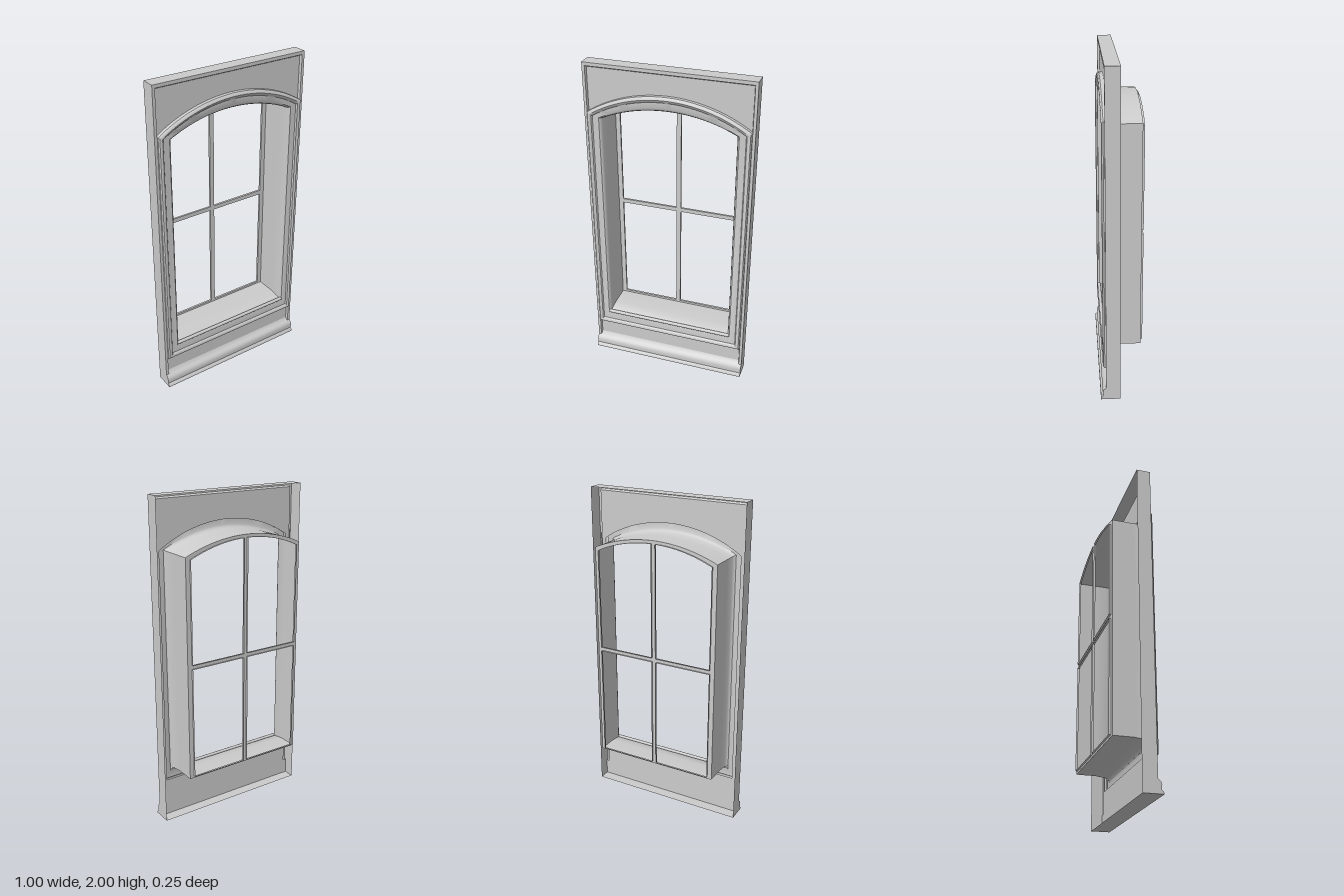
import * as THREE from 'three';
import { toCreasedNormals } from 'three/addons/utils/BufferGeometryUtils.js';

const material = new THREE.MeshStandardMaterial({ color: 0xcccccc, side: THREE.DoubleSide });

// Height of a circular arch through (+-half, spring) and (0, apex)
function archY(x, half, spring, apex) {
  const sag = apex - spring;
  const r = (half * half + sag * sag) / (2 * sag);
  return apex - r + Math.sqrt(r * r - x * x);
}

// Outline of an arched opening, counter-clockwise
function archOutline(half, bottom, spring, apex, n = 32) {
  const pts = [new THREE.Vector2(-half, bottom), new THREE.Vector2(half, bottom)];
  for (let i = 0; i <= n; i++) {
    const x = half - (2 * half * i) / n;
    pts.push(new THREE.Vector2(x, archY(x, half, spring, apex)));
  }
  return pts;
}

function rectOutline(x0, x1, y0, y1) {
  return [[x0, y0], [x1, y0], [x1, y1], [x0, y1]].map(([x, y]) => new THREE.Vector2(x, y));
}

// Skin through closed outlines, each { pts, z }, with equal point counts
function loft(rings) {
  const pos = [], index = [], n = rings[0].pts.length;
  for (const { pts, z } of rings) for (const p of pts) pos.push(p.x, p.y, z);
  for (let r = 0; r < rings.length - 1; r++) {
    for (let i = 0; i < n; i++) {
      const j = (i + 1) % n;
      const a = r * n + i, b = r * n + j, c = a + n, d = b + n;
      index.push(a, b, c, b, d, c);
    }
  }
  const g = new THREE.BufferGeometry();
  g.setAttribute('position', new THREE.Float32BufferAttribute(pos, 3));
  g.setIndex(index);
  return toCreasedNormals(g, 0.6);
}

// Flat sheet with holes at depth z
function sheet(outline, holes, z) {
  const shape = new THREE.Shape(outline);
  for (const h of holes) shape.holes.push(new THREE.Path(h));
  return new THREE.ShapeGeometry(shape).translate(0, 0, z);
}

export function createModel() {
  const model = new THREE.Group();
  const add = (name, geometry) => {
    const mesh = new THREE.Mesh(geometry, material);
    mesh.name = name;
    model.add(mesh);
    return mesh;
  };

  // Hollow wall surround: side walls, narrow border and a bevel into the recess
  const outer = rectOutline(-0.5, 0.5, 0, 2);
  add('wallSurround', loft([
    { pts: outer, z: 0.01 },
    { pts: outer, z: 0.095 },
    { pts: rectOutline(-0.483, 0.483, 0.03, 1.98), z: 0.095 },
    { pts: rectOutline(-0.478, 0.478, 0.035, 1.972), z: 0.08 },
  ]));

  // Recessed panel above and below the opening
  add('recessedPanel', sheet(
    rectOutline(-0.478, 0.478, 0.035, 1.972),
    [archOutline(0.45, 0.24, 1.685, 1.82)], 0.08));

  // Moulded casing running into the deep reveal: half width, bottom, spring, apex, z
  const casing = [
    [0.482, 0.208, 1.71, 1.855, 0.08],
    [0.482, 0.208, 1.71, 1.855, 0.102],
    [0.476, 0.214, 1.705, 1.848, 0.11],
    [0.466, 0.222, 1.70, 1.838, 0.113],
    [0.456, 0.232, 1.695, 1.828, 0.109],
    [0.45, 0.24, 1.69, 1.82, 0.1],
    [0.412, 0.285, 1.682, 1.785, 0.1],
    [0.404, 0.298, 1.678, 1.773, 0.094],
    [0.398, 0.31, 1.675, 1.764, 0.08],
    [0.398, 0.32, 1.675, 1.76, 0.01],
    [0.398, 0.32, 1.675, 1.76, -0.115],
  ];
  add('casingAndReveal', loft(casing.map(([w, b, s, a, z]) => ({ pts: archOutline(w, b, s, a), z }))));

  // Four pane openings, the upper two following the arch
  const panes = [];
  for (const [x0, x1] of [[-0.37, -0.014], [0.014, 0.37]]) {
    panes.push(rectOutline(x0, x1, 0.333, 1.022));
    const upper = [new THREE.Vector2(x0, 1.048), new THREE.Vector2(x1, 1.048)];
    for (let i = 0; i <= 16; i++) {
      const x = x1 + ((x0 - x1) * i) / 16;
      upper.push(new THREE.Vector2(x, archY(x, 0.37, 1.66, 1.742)));
    }
    panes.push(upper);
  }

  // Sash with glazing bars, and a thin lip behind each pane opening
  add('sashAndGlazingBars', sheet(archOutline(0.398, 0.32, 1.675, 1.76), panes, -0.115));
  panes.forEach((pts, i) => add(`paneLip${i + 1}`, loft([{ pts, z: -0.115 }, { pts, z: -0.128 }])));

  // Rounded nosing along the sill
  const nosing = add('sillNosing', new THREE.CapsuleGeometry(0.011, 0.8, 6, 12).rotateZ(Math.PI / 2));
  nosing.position.set(0, 0.304, 0.101);

  // Skirting at the foot: profile (depth, height) swept across the width
  const profile = [
    [0.08, 0], [0.127, 0], [0.125, 0.012], [0.114, 0.022], [0.116, 0.05],
    [0.11, 0.066], [0.1, 0.075], [0.088, 0.085], [0.08, 0.1],
  ].map(([z, y]) => new THREE.Vector2(-z, y));
  const skirting = new THREE.ExtrudeGeometry(new THREE.Shape(profile), { depth: 1, bevelEnabled: false });
  skirting.rotateY(Math.PI / 2).translate(-0.5, 0, 0);
  add('skirting', toCreasedNormals(skirting, 0.7));

  return model;
}
